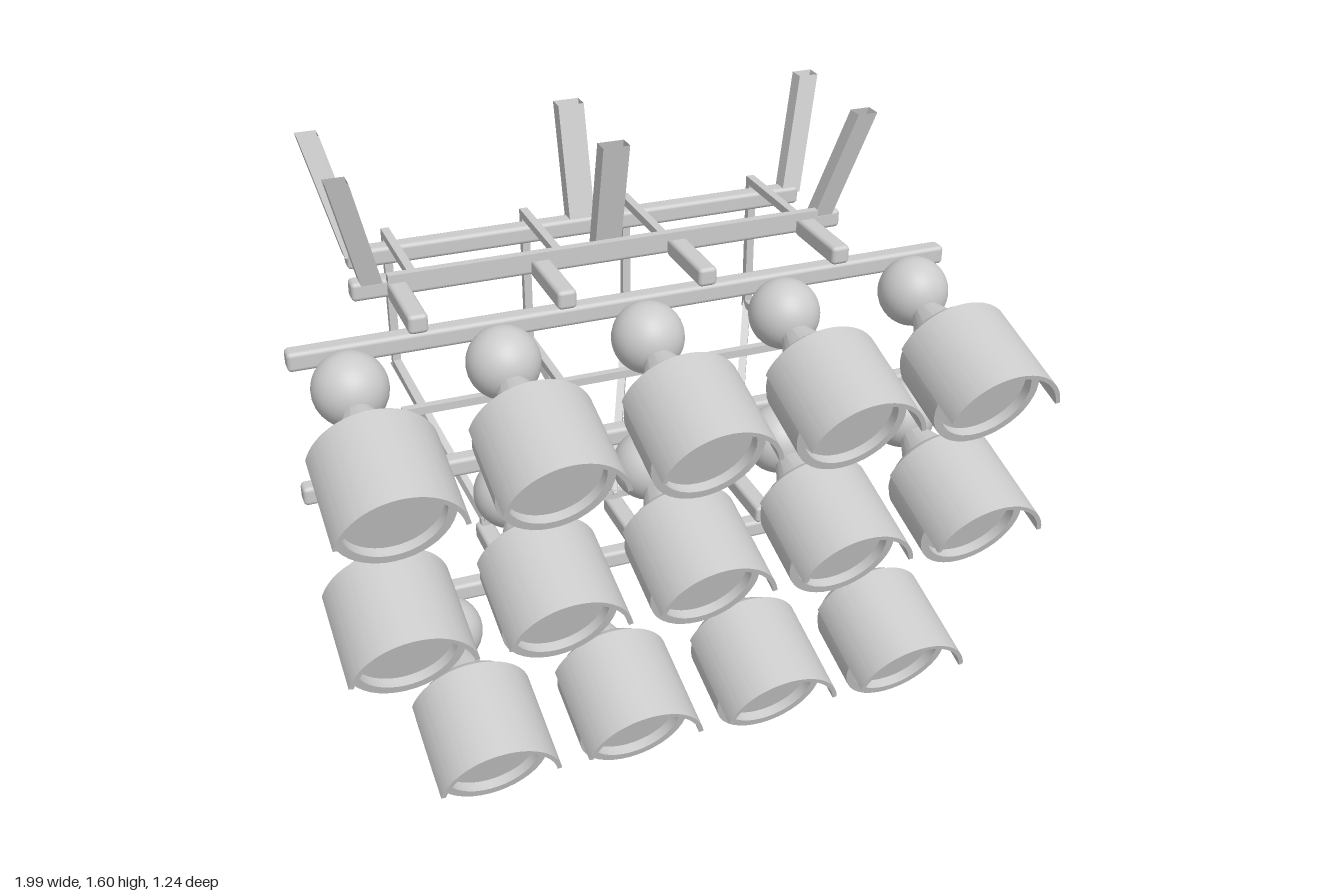
import * as THREE from 'three';
import { toCreasedNormals } from 'three/addons/utils/BufferGeometryUtils.js';
import { RoundedBoxGeometry } from 'three/addons/geometries/RoundedBoxGeometry.js';

const grey = new THREE.MeshStandardMaterial({ color: 0xcccccc });
const greyOpen = new THREE.MeshStandardMaterial({ color: 0xcccccc, side: THREE.DoubleSide });

const V = (x, y, z) => new THREE.Vector3(x, y, z);

function add(parent, name, geometry, x = 0, y = 0, z = 0, material = grey) {
  const mesh = new THREE.Mesh(geometry, material);
  mesh.name = name;
  mesh.position.set(x, y, z);
  parent.add(mesh);
  return mesh;
}

// Rounded beam centred on a point
function beam(parent, name, w, h, d, x, y, z) {
  return add(parent, name, new RoundedBoxGeometry(w, h, d, 2, 0.012), x, y, z);
}

// Thin square strut between two points
function strut(parent, name, a, b, size = 0.024) {
  const mesh = add(parent, name, new THREE.BoxGeometry(size, size, a.distanceTo(b) + size * 0.8));
  mesh.position.copy(a).add(b).multiplyScalar(0.5);
  mesh.lookAt(b);
}

// Open rectangular tube leaning from base to top, with level ends
function leaningPost(parent, name, w, d, base, top) {
  const h = top.y - base.y;
  const g = new THREE.CylinderGeometry(Math.SQRT1_2, Math.SQRT1_2, h, 4, 1, true).toNonIndexed();
  g.rotateY(Math.PI / 4).scale(w, 1, d).translate(0, h / 2, 0);
  const p = g.attributes.position;
  for (let i = 0; i < p.count; i++) {
    const t = p.getY(i) / h;
    p.setX(i, p.getX(i) + t * (top.x - base.x));
    p.setZ(i, p.getZ(i) + t * (top.z - base.z));
  }
  g.computeVertexNormals();
  add(parent, name, g, base.x, base.y, base.z, greyOpen);
}

// Neck, can, rim and recessed lens in one turned profile
function canGeometry() {
  const profile = [
    [0.035, 0.07], [0.084, 0.19], [0.115, 0.2], [0.135, 0.212], [0.152, 0.23],
    [0.16, 0.25], [0.16, 0.454], [0.136, 0.454], [0.136, 0.425], [0, 0.425],
  ].map(([r, y]) => new THREE.Vector2(r, y));
  return toCreasedNormals(new THREE.LatheGeometry(profile, 40).rotateX(Math.PI / 2), 0.6);
}

// Curved hood over the upper part of the can
function visorGeometry() {
  const a = 1.36, mid = Math.PI / 2;
  const shape = new THREE.Shape();
  shape.absarc(0, 0, 0.172, mid - a, mid + a, false);
  shape.absarc(0, 0, 0.159, mid + a, mid - a, true);
  const g = new THREE.ExtrudeGeometry(shape, { depth: 0.3, bevelEnabled: false, curveSegments: 28 });
  return toCreasedNormals(g.translate(0, 0, 0.245), 0.6);
}

export function createModel() {
  const model = new THREE.Group();
  model.name = 'lampRack';

  const can = canGeometry();
  const visor = visorGeometry();
  const ball = new THREE.SphereGeometry(0.102, 32, 20);
  const step = 0.414;

  // Rows of lamps, each hung on a bar with arms reaching back
  const rows = [
    { y: 1.133, lamps: 5, arms: 4, half: 0.97 },
    { y: 0.723, lamps: 5, arms: 4, half: 0.97 },
    { y: 0.297, lamps: 4, arms: 3, half: 0.755 },
  ];
  for (const row of rows) {
    const group = new THREE.Group();
    group.name = 'lampRow';
    model.add(group);
    beam(group, 'rowBar', row.half * 2, 0.055, 0.052, 0, row.y + 0.058, -0.055);
    for (let i = 0; i < row.arms; i++) {
      beam(group, 'rowArm', 0.055, 0.055, 0.248, (i - (row.arms - 1) / 2) * step, row.y + 0.116, -0.139);
    }
    for (let i = 0; i < row.lamps; i++) {
      const lamp = new THREE.Group();
      lamp.name = 'lamp';
      lamp.position.set((i - (row.lamps - 1) / 2) * step, row.y, 0.05);
      lamp.rotation.x = 0.291;
      add(lamp, 'ballJoint', ball);
      add(lamp, 'lampCan', can, 0, -0.01, 0);
      add(lamp, 'lampVisor', visor, 0, -0.01, 0);
      group.add(lamp);
    }
  }

  // Two top rails and the leaning posts that stand on them
  const rails = [
    { half: 0.745, z: -0.293, lean: 0.083 },
    { half: 0.71, z: -0.508, lean: -0.086 },
  ];
  for (const { half, z, lean } of rails) {
    beam(model, 'topRail', half * 2, 0.055, 0.055, 0, 1.25, z);
    for (const s of [-1, 0, 1]) {
      leaningPost(model, 'hangingPost', s ? 0.06 : 0.078, 0.05,
        V(s * 0.685, 1.26, z), V(s * 0.77, 1.6, z + lean));
    }
  }

  // Bent struts behind the rows, gathered onto the lowest arms
  const bends = [[0.58, step], [0.16, 0]];
  for (const s of [-1, 1]) {
    for (const [x, foot] of bends) {
      const points = [
        V(s * x, 1.292, -0.24), V(s * x, 1.292, -0.552), V(s * x, 0.868, -0.552),
        V(s * foot, 0.462, -0.24), V(s * foot, 0.43, -0.24),
      ];
      for (let i = 1; i < points.length; i++) strut(model, 'rearStrut', points[i - 1], points[i]);
      strut(model, 'middleStrut', V(s * x, 0.872, -0.24), V(s * x, 0.872, -0.552));
    }
  }

  // Cross ties joining the arms of each row
  for (const [half, y] of [[0.64, 1.292], [0.63, 0.872], [0.42, 0.455]]) {
    strut(model, 'crossTie', V(-half, y, -0.24), V(half, y, -0.24));
  }

  return model;
}
